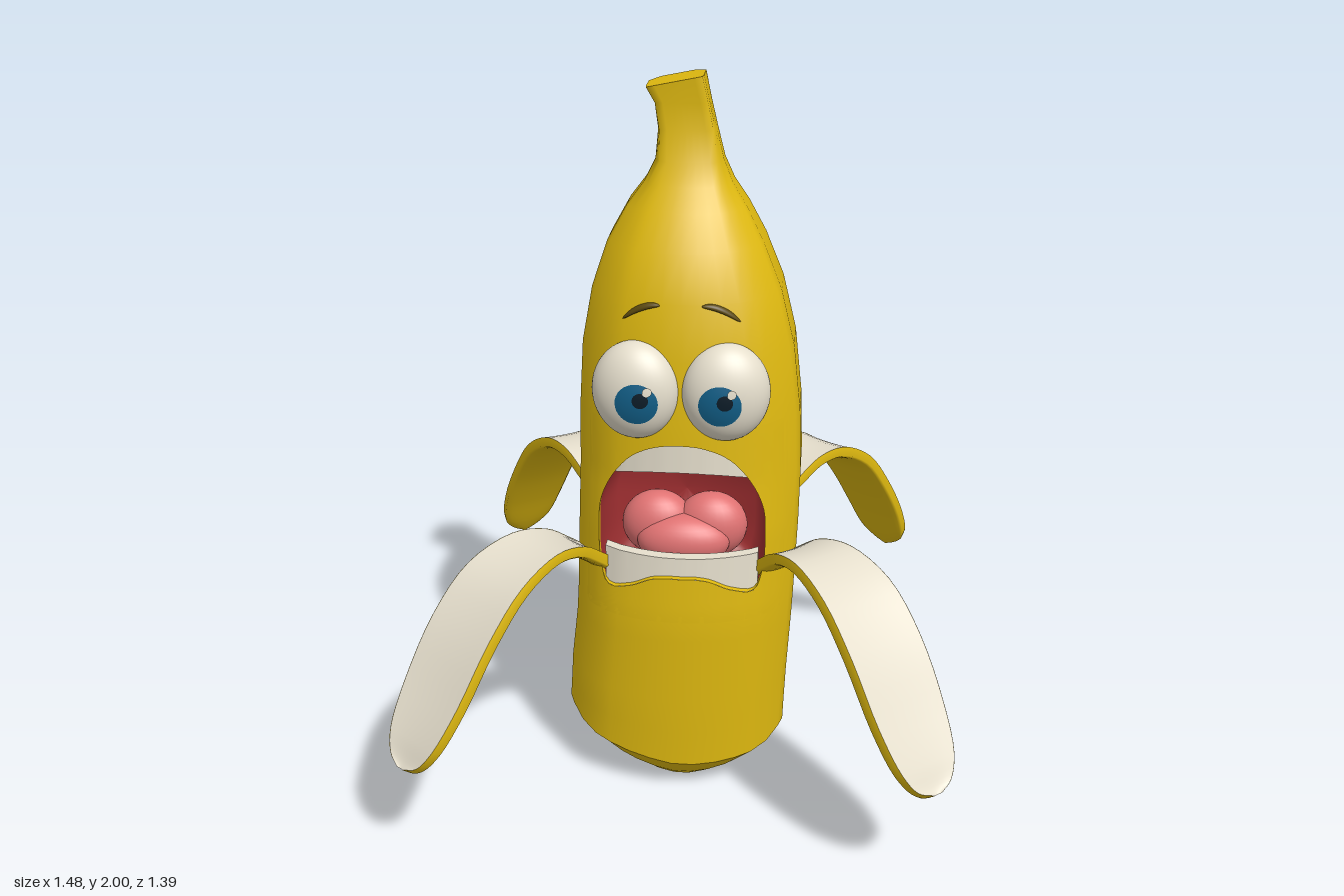
import * as THREE from 'three';

const mat = (name, color) => {
  const m = new THREE.MeshStandardMaterial({ color, side: THREE.DoubleSide });
  m.name = name;
  return m;
};
const lerp = THREE.MathUtils.lerp;

// Body rows: height, left edge x, right edge x, front z, back z
const ROWS = [
  [0, -.335, .285, .245, -.23], [.12, -.33, .288, .25, -.231], [.25, -.325, .292, .255, -.232],
  [.5, -.307, .302, .26, -.232], [.58, -.302, .306, .261, -.232], [.8, -.295, .315, .247, -.232],
  [.95, -.29, .318, .23, -.232], [1.12, -.287, .312, .225, -.232], [1.3, -.277, .292, .215, -.232],
  [1.45, -.25, .255, .195, -.232], [1.57, -.21, .205, .15, -.222], [1.66, -.16, .158, .095, -.185],
  [1.72, -.115, .12, .055, -.15], [1.78, -.085, .095, .025, -.12], [1.86, -.078, .075, .005, -.108],
  [1.93, -.085, .058, .005, -.112], [1.985, -.107, .043, .01, -.122],
];
// Half of the rounded six-sided section, front to back
const HALF = [[0, 1], [.2, .985], [.4, .93], [.58, .85], [.72, .745], [.86, .56], [.96, .38], [1, .27],
  [1, -.42], [.97, -.5], [.56, -.93], [.46, -.985], [0, -1]];
const LOOP = [...HALF.slice().reverse().map(([u, v]) => [-u, v]), ...HALF.slice(1)];

function section(y) {
  let k = ROWS.findIndex((r) => r[0] >= y);
  if (k < 1) k = 1;
  const a = ROWS[k - 1], b = ROWS[k], t = (y - a[0]) / (b[0] - a[0]);
  const [, l, r, f, k2] = a.map((n, i) => lerp(n, b[i], t));
  return { cx: (l + r) / 2, hx: (r - l) / 2, cz: (f + k2) / 2, hz: (f - k2) / 2 };
}

// Depth of the front skin at any x, y
function frontZ(x, y) {
  const s = section(y), u = Math.min(Math.abs((x - s.cx) / s.hx), .999);
  const k = HALF.findIndex((p) => p[0] > u), a = HALF[k - 1], b = HALF[k];
  return s.cz + s.hz * lerp(a[1], b[1], (u - a[0]) / (b[0] - a[0]));
}

// Surface from a rule: fn(i, j) gives [x, y, z]
function grid(nu, nv, fn, skip = () => false) {
  const pos = [], all = [], kept = [];
  for (let j = 0; j <= nv; j++) for (let i = 0; i <= nu; i++) pos.push(...fn(i, j));
  for (let j = 0; j < nv; j++) for (let i = 0; i < nu; i++) {
    const a = j * (nu + 1) + i, d = a + nu + 1, quad = [a, a + 1, d + 1, a, d + 1, d];
    all.push(...quad);
    if (!skip(i, j)) kept.push(...quad);
  }
  const g = new THREE.BufferGeometry();
  g.setAttribute('position', new THREE.Float32BufferAttribute(pos, 3));
  g.setIndex(all);
  g.computeVertexNormals();
  g.setIndex(kept);
  return g;
}

// Move every vertex of a geometry by a rule
function bend(g, fn) {
  const p = g.attributes.position;
  for (let i = 0; i < p.count; i++) p.setXYZ(i, ...fn(p.getX(i), p.getY(i), p.getZ(i)));
  g.computeVertexNormals();
  return g;
}

export function createModel() {
  const yellow = mat('banana yellow', 0xe0ba10), cream = mat('cream', 0xe6dfcd);
  const red = mat('mouth red', 0x9e2e30), pink = mat('tongue pink', 0xe07272);
  const blue = mat('iris blue', 0x125f88), black = mat('pupil black', 0x0c1c28);
  const olive = mat('brow olive', 0x5c4a10);
  const model = new THREE.Group();
  const add = (name, geo, m, parent = model) => {
    const mesh = new THREE.Mesh(geo, m);
    mesh.name = name;
    parent.add(mesh);
    return mesh;
  };

  // Body skin, with a window left open for the mouth panel
  const floor = (x, z) => .17 * (Math.abs(x) / .3) ** 1.7
    + (z < 0 ? -z * .17 : 6 * Math.max(0, z - .12) ** 2);
  const ring = (i, j) => {
    const y = ROWS[j][0], s = section(y);
    let [u, v] = LOOP[i];
    const t = THREE.MathUtils.smoothstep(y, 1.62, 1.95), m = Math.max(Math.abs(u), Math.abs(v));
    u = lerp(u, u / m, t);
    v = lerp(v, v / m, t);
    const x = s.cx + s.hx * u, z = s.cz + s.hz * v;
    let h = y < .5 ? y + floor(x, z) * (1 - y / .5) : y;
    if (j === ROWS.length - 1) h += .015 * u;
    return [x, h, z];
  };
  const N = LOOP.length - 1, top = ROWS.length - 1;
  add('body', grid(N, top, ring, (i, j) => ROWS[j][0] >= .58 && ROWS[j + 1][0] <= 1.12
    && LOOP[i][1] > .5 && LOOP[i + 1][1] > .5), yellow);
  add('bodyBase', grid(N, 6, (i, j) => {
    const p = ring(i, 0), x = lerp(-.025, p[0], j / 6), z = lerp(.01, p[2], j / 6);
    return [x, floor(x, z), z];
  }), yellow);
  add('stemTop', grid(N, 1, (i, j) => (j ? [-.032, 1.985, -.056] : ring(i, top))), yellow);

  // Mouth outline, counter-clockwise
  const rightHalf = [[.07, .686], [.14, .655], [.2, .645], [.222, .7], [.228, .8], [.222, .88],
    [.185, .965], [.13, 1.03], [.065, 1.062]];
  const outline = new THREE.CatmullRomCurve3([[0, .69], ...rightHalf, [0, 1.07],
    ...rightHalf.slice().reverse().map(([x, y]) => [-x, y])]
    .map(([x, y]) => new THREE.Vector3(x, y, 0)), true);
  const M = 96, lip = outline.getSpacedPoints(M);

  // Skin between the mouth and the body window
  const panel = grid(M, 6, (i, j) => {
    const p = lip[i], s = section(p.y), u = (p.x - s.cx) / s.hx, du = u, dy = p.y - .85;
    const k = Math.min(.89 / Math.max(Math.abs(du), 1e-6), .29 / Math.max(Math.abs(dy), 1e-6));
    const t = j / 6, y = lerp(.85 + dy * k, p.y, t), q = section(y);
    const x = q.cx + q.hx * lerp(du * k, u, t);
    return [x, y, frontZ(x, y) + .0006];
  });
  const pp = panel.attributes.position, e = .03;
  for (let i = 0; i < pp.count; i++) {
    const x = pp.getX(i), y = pp.getY(i);
    const n = new THREE.Vector3((frontZ(x - e, y) - frontZ(x + e, y)) / (2 * e),
      (frontZ(x, y - e) - frontZ(x, y + e)) / (2 * e), 1).normalize();
    panel.attributes.normal.setXYZ(i, n.x, n.y, n.z);
  }
  add('mouthSurround', panel, yellow);

  // Lip edge and mouth cavity
  const inward = (i, scale, z) => [lip[i].x * scale, .85 + (lip[i].y - .85) * scale, z];
  const lipZ = (i) => frontZ(lip[i].x, lip[i].y);
  add('lipEdge', grid(M, 1, (i, j) => inward(i, 1, lipZ(i) - j * .025)), yellow);
  add('mouthCavity', grid(M, 3, (i, j) => inward(i, [1, .97, .85, 0][j],
    [lipZ(i) - .025, .08, .02, 0][j])), red);

  // Teeth follow the curve of the face
  const teeth = (name, w, lo, hi, inset, depth) => add(name,
    bend(new THREE.BoxGeometry(w, 1, depth, 20, 3, 1), (x, y, z) => {
      const h = lerp(lo(x), hi(x), y + .5);
      return [x, h, z + frontZ(x, h) - inset];
    }), cream);
  teeth('upperTeeth', .36, (x) => .985 - .6 * x * x, (x) => 1.075 - 2.4 * x * x, .035, .03);
  teeth('lowerTeeth', .42, () => .63, (x) => .742 + .1 * x * x, .035, .035);

  // Tongue: two lobes and a raised front
  [[-.075, .775, .07, .1, .095], [.075, .775, .07, .1, .095], [0, .745, .115, .13, .075]]
    .forEach(([x, y, z, rx, ry]) => {
      const t = add('tongue', new THREE.SphereGeometry(1, 28, 18), pink);
      t.position.set(x, y, z);
      t.scale.set(rx, ry, .07);
    });

  // Eyes with thin discs laid on the eyeball, and brows
  const RX = .117, RY = .134, RZ = .08;
  for (const side of [-1, 1]) {
    const eye = new THREE.Group();
    eye.name = side > 0 ? 'leftEye' : 'rightEye';
    eye.position.set(side * .119, 1.216, .195);
    eye.rotation.y = side * .12;
    model.add(eye);
    add('eyeball', new THREE.SphereGeometry(1, 40, 28), cream, eye).scale.set(RX, RY, RZ);
    const ix = side > 0 ? -.02 : .018, iy = -.014;
    const disc = (name, x0, y0, r, lift, m) => add(name,
      bend(new THREE.RingGeometry(0, r, 32, 5), (x, y) => {
        const X = x + x0, Y = y + y0;
        return [X, Y, RZ * Math.sqrt(1 - (X / RX) ** 2 - (Y / RY) ** 2) + lift];
      }), m, eye);
    disc('iris', ix, iy, .056, .002, blue);
    disc('pupil', ix + .012, iy + .012, .021, .004, black);
    disc('eyeHighlight', ix + .03, iy + .036, .012, .006, cream);

    add('brow', bend(new THREE.SphereGeometry(1, 24, 12), (x, y, z) => {
      const X = x * .05, px = side * (.104 - X), py = 1.436 + y * .009 + .45 * X - 5 * X * X;
      return [px, py, frontZ(px, py) + z * .011];
    }), olive);
  }

  // Peel strips: path points are half width, height, distance from the root
  const peel = (name, x, z, angle, path) => {
    const g = new THREE.Group();
    g.name = name;
    g.position.set(x, 0, z);
    g.rotation.y = angle;
    model.add(g);
    const curve = new THREE.CatmullRomCurve3(path.map((p) => new THREE.Vector3(...p)));
    const S = 36;
    const at = (i, s, drop) => {
      const p = curve.getPoint(i / S), t = curve.getTangent(i / S);
      const l = Math.hypot(t.y, t.z) || 1, ny = t.z / l, nz = -t.y / l;
      return [p.x * s, p.y - ny * drop, p.z - nz * drop];
    };
    add('peelFlesh', grid(8, S, (i, j) => {
      const s = (i / 4 - 1) * .94;
      return at(j, s, .006 * (1 - s * s));
    }), cream, g);
    add('peelSkin', grid(14, S, (i, j) => {
      const a = Math.PI * i / 14, c = Math.cos(a);
      const edge = i === 0 || i === 14;
      return at(j, edge ? c * .94 : c * 1.02, edge ? 0 : .012 + .03 * Math.sqrt(Math.sin(a)));
    }), yellow, g);
  };
  const frontPath = [[.07, .69, -.06], [.075, .735, 0], [.085, .78, .07], [.1, .8, .18], [.118, .755, .32],
    [.124, .645, .44], [.118, .49, .55], [.095, .385, .62], [.06, .335, .648], [.012, .318, .662]];
  const backPath = [[.1, .82, -.06], [.105, .845, 0], [.105, .878, .1], [.105, .872, .22], [.105, .80, .36],
    [.103, .68, .47], [.098, .55, .56], [.08, .455, .615], [.05, .42, .638], [.01, .405, .65]];
  for (const side of [-1, 1]) {
    const word = side > 0 ? 'Left' : 'Right';
    peel('front' + word + 'Peel', side * .27, .15, side * Math.atan2(.42, .5), frontPath);
    peel('back' + word + 'Peel', side * .23, -.16, side * Math.atan2(.35, -.48), backPath);
  }
  return model;
}
